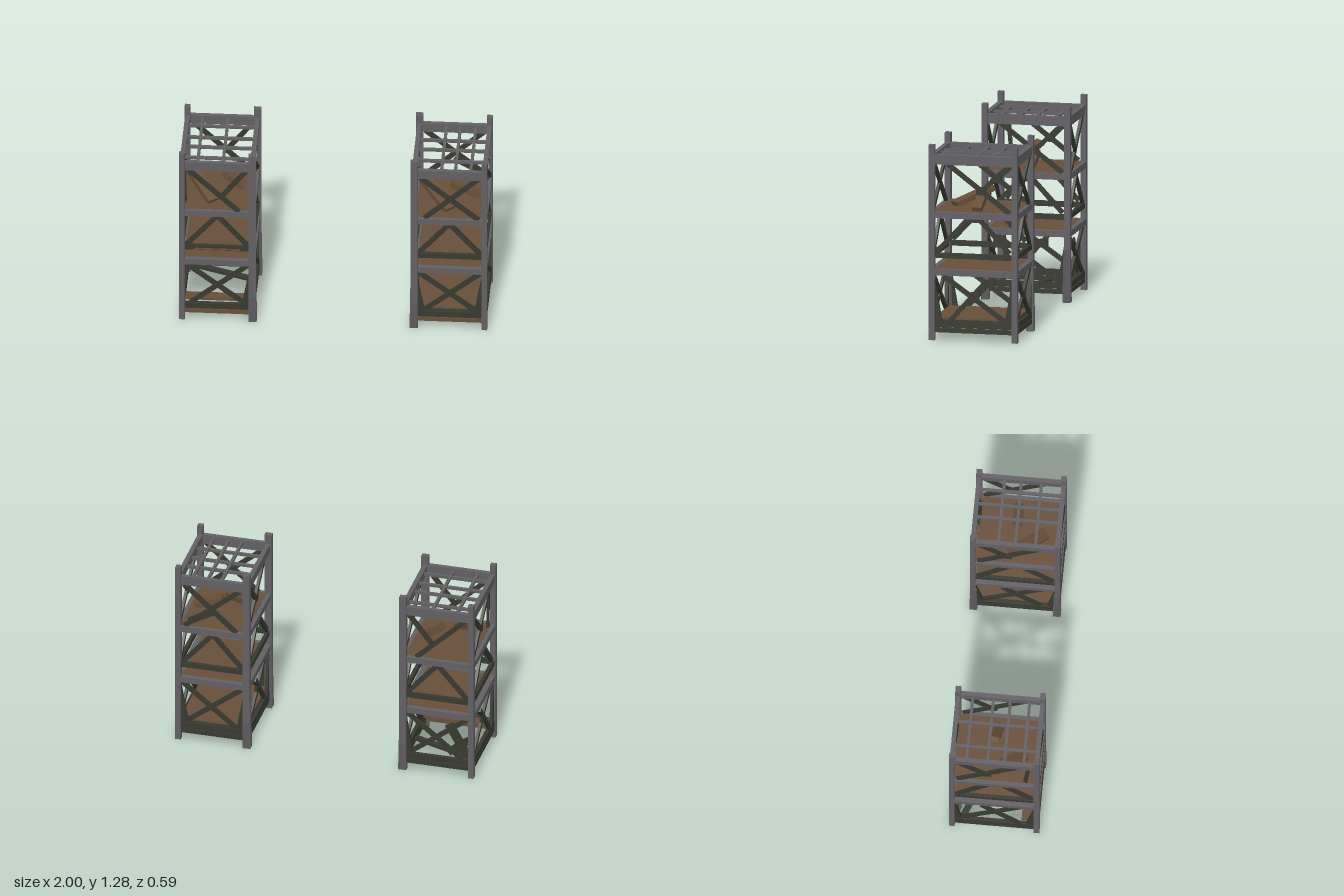
import * as THREE from 'three';

const steel = new THREE.MeshStandardMaterial({ color: 0x626064 });
const darkIron = new THREE.MeshStandardMaterial({ color: 0x383a31 });
const wood = new THREE.MeshStandardMaterial({ color: 0x674f39 });
steel.name = 'steel'; darkIron.name = 'darkIron'; wood.name = 'wood';

const HX = 0.2275, HZ = 0.275; // half spacing of the posts
const UP = new THREE.Vector3(0, 1, 0);

function add(parent, name, geometry, material, x = 0, y = 0, z = 0) {
  const m = new THREE.Mesh(geometry, material);
  m.name = name;
  m.position.set(x, y, z);
  parent.add(m);
  return m;
}

function box(parent, name, mat, w, h, d, x, y, z) {
  add(parent, name, new THREE.BoxGeometry(w, h, d), mat, x, y, z);
}

// Board or bar from point a to point b: w is level, t is across it
function bar(parent, name, mat, a, b, w, t) {
  const A = new THREE.Vector3(...a), B = new THREE.Vector3(...b);
  const m = add(parent, name, new THREE.BoxGeometry(w, t, A.distanceTo(B)), mat);
  m.position.copy(A).add(B).multiplyScalar(0.5);
  m.quaternion.setFromRotationMatrix(new THREE.Matrix4().lookAt(B, A, UP));
}

// Flat triangular stiffener beside a post
function gusset(parent, side, half) {
  const s = new THREE.Shape();
  s.moveTo(side * half, 0.44);
  s.lineTo(side * half, 0.1);
  s.lineTo(side * (half - 0.06), 0.1);
  s.closePath();
  const g = new THREE.ExtrudeGeometry(s, { depth: 0.02, bevelEnabled: false });
  add(parent, 'gusset', g, darkIron, 0, 0, -0.01);
}

// One side of a tower, with u across and y up; braces are [u0, y0, u1, y1]
function wall(tower, name, half, position, turn, braces, gussets, footMaterial) {
  const g = new THREE.Group();
  g.name = name;
  g.position.set(...position);
  g.rotation.y = turn;
  tower.add(g);
  const w = 2 * half - 0.02;

  // Horizontal beams
  box(g, 'upperTopBeam', steel, w, 0.034, 0.03, 0, 1.208, 0);
  box(g, 'lowerTopBeam', steel, w, 0.03, 0.026, 0, 1.176, 0);
  box(g, 'upperDeckBeam', steel, w, 0.042, 0.034, 0, 0.83, 0);
  box(g, 'middleDeckBeam', steel, w, 0.04, 0.034, 0, 0.453, 0);
  box(g, 'guardRail', darkIron, w, 0.034, 0.024, 0, 0.563, 0);
  box(g, 'lowerRail', darkIron, w, 0.04, 0.026, 0, 0.112, 0);
  box(g, 'footRail', footMaterial, w, 0.028, 0.026, 0, 0.072, 0);

  // Diagonal braces, overlapping where they cross
  braces.forEach(([u0, y0, u1, y1], n) => {
    const z = n % 2 ? -0.003 : 0.003;
    bar(g, 'brace', darkIron, [u0, y0, z], [u1, y1, z], 0.018, 0.03);
  });
  for (const s of gussets) gusset(g, s, half - 0.012);
  return g;
}

// Narrow side: the upper cross of the right tower has lost one arm
function endWall(tower, z, inner, footMaterial) {
  const braces = [
    [-0.19, 1.165, inner < 0 ? 0.19 : 0.14, 0.85],
    [0.19, 1.165, inner < 0 ? -0.16 : 0.03, inner < 0 ? 0.85 : 0.96],
    [-0.2, 0.58, 0, 0.81], [0.2, 0.58, 0, 0.81],
    [-0.2, 0.43, 0.19, 0.13], [0.2, 0.43, -0.17, 0.13],
  ];
  wall(tower, 'endFrame', HX, [0, 0, z], 0, braces, inner < 0 ? [-1, 1] : [1], footMaterial);
}

// Deep side, with joint plates and a short broken brace below
function sideWall(tower, x) {
  const braces = [
    [-0.17, 1.165, 0.24, 0.855], [0.235, 1.17, 0.05, 0.99],
    [-0.24, 0.59, -0.04, 0.805], [0.24, 0.59, 0.04, 0.805],
    [-0.2, 0.43, 0.22, 0.135], [-0.16, 0.13, 0.08, 0.4],
  ];
  const g = wall(tower, 'sideFrame', HZ, [x, 0, 0], Math.PI / 2, braces, [-1, 1], darkIron);
  box(g, 'braceJoint', darkIron, 0.06, 0.05, 0.02, 0.05, 0.995, 0);
  box(g, 'bracePlate', darkIron, 0.12, 0.025, 0.02, 0, 0.8, 0);
  box(g, 'braceJoint', darkIron, 0.055, 0.055, 0.02, 0.01, 0.3, 0);
}

function deck(tower, y) {
  const w = 2 * HX - 0.02, d = 2 * HZ - 0.02;
  box(tower, 'deckBoards', wood, w, 0.012, d, 0, y, 0);
  box(tower, 'deckUnderside', darkIron, w, 0.012, d, 0, y - 0.012, 0);
}

// inner: x direction of the side facing the other tower
function makeTower(name, cx, inner, gridX, gridZ) {
  const t = new THREE.Group();
  t.name = name;
  t.position.x = cx;
  for (const sx of [-1, 1]) for (const sz of [-1, 1]) {
    const w = sx === inner ? 0.048 : 0.037;
    box(t, 'cornerPost', steel, w, 1.285, 0.037, sx * HX, 0.6475, sz * HZ);
    // Flared foot on the inner posts
    if (sx === inner) {
      const foot = new THREE.CylinderGeometry(0.028, 0.036, 0.36, 4, 1).rotateY(Math.PI / 4);
      add(t, 'postFoot', foot, steel, sx * (HX + 0.004), 0.185, sz * (HZ - 0.004));
    }
  }
  endWall(t, HZ, inner, wood);
  endWall(t, -HZ, inner, darkIron);
  sideWall(t, HX);
  sideWall(t, -HX);

  // Open grid roof
  for (const x of gridX) box(t, 'roofBar', steel, 0.019, 0.018, 2 * HZ, x - cx, 1.205, 0);
  for (const z of gridZ) box(t, 'roofCrossBar', steel, 2 * HX, 0.018, 0.019, 0, 1.199, z);

  deck(t, 0.846);
  deck(t, 0.466);
  return t;
}

export function createModel() {
  const model = new THREE.Group();
  model.name = 'scaffoldTowers';

  const left = makeTower('leftTower', 0.7525, -1, [0.7, 0.79, 0.89], [-0.11, 0, 0.13]);
  const right = makeTower('rightTower', -0.7525, 1, [-0.88, -0.716], [-0.18, -0.045, 0.065, 0.19]);
  model.add(left, right);

  // Floor and fallen boards of the left tower
  deck(left, 0.147);
  bar(left, 'fallenBoard', wood, [-0.18, 0.95, -0.03], [0.0, 0.86, 0.18], 0.08, 0.035);
  bar(left, 'fallenBoard', wood, [0.0, 0.935, -0.01], [0.18, 0.86, -0.01], 0.06, 0.04);
  bar(left, 'brokenBrace', darkIron, [0.0, 0.97, -0.255], [0.16, 0.88, -0.255], 0.014, 0.045);

  // Fallen boards and broken floor of the right tower
  bar(right, 'fallenBoard', wood, [-0.18, 0.975, 0.0], [-0.03, 0.86, 0.18], 0.08, 0.035);
  bar(right, 'fallenBoard', wood, [0.03, 0.95, -0.02], [0.16, 0.86, 0.0], 0.06, 0.04);
  bar(right, 'looseBar', darkIron, [-0.21, 1.16, 0.225], [-0.21, 0.86, 0.2], 0.015, 0.025);
  box(right, 'railBoard', wood, 0.3, 0.012, 0.008, 0, 0.556, HZ + 0.011);
  box(right, 'floorBoard', wood, 0.42, 0.016, 0.07, 0, 0.138, 0.21);
  bar(right, 'brokenBoard', darkIron, [-0.19, 0.14, -0.24], [-0.07, 0.36, -0.24], 0.014, 0.06);
  bar(right, 'brokenBoard', darkIron, [-0.2, 0.25, -0.225], [-0.06, 0.14, -0.225], 0.014, 0.05);
  bar(right, 'floorJoist', darkIron, [-0.2, 0.11, -0.2], [0.2, 0.11, -0.05], 0.04, 0.02);
  return model;
}
